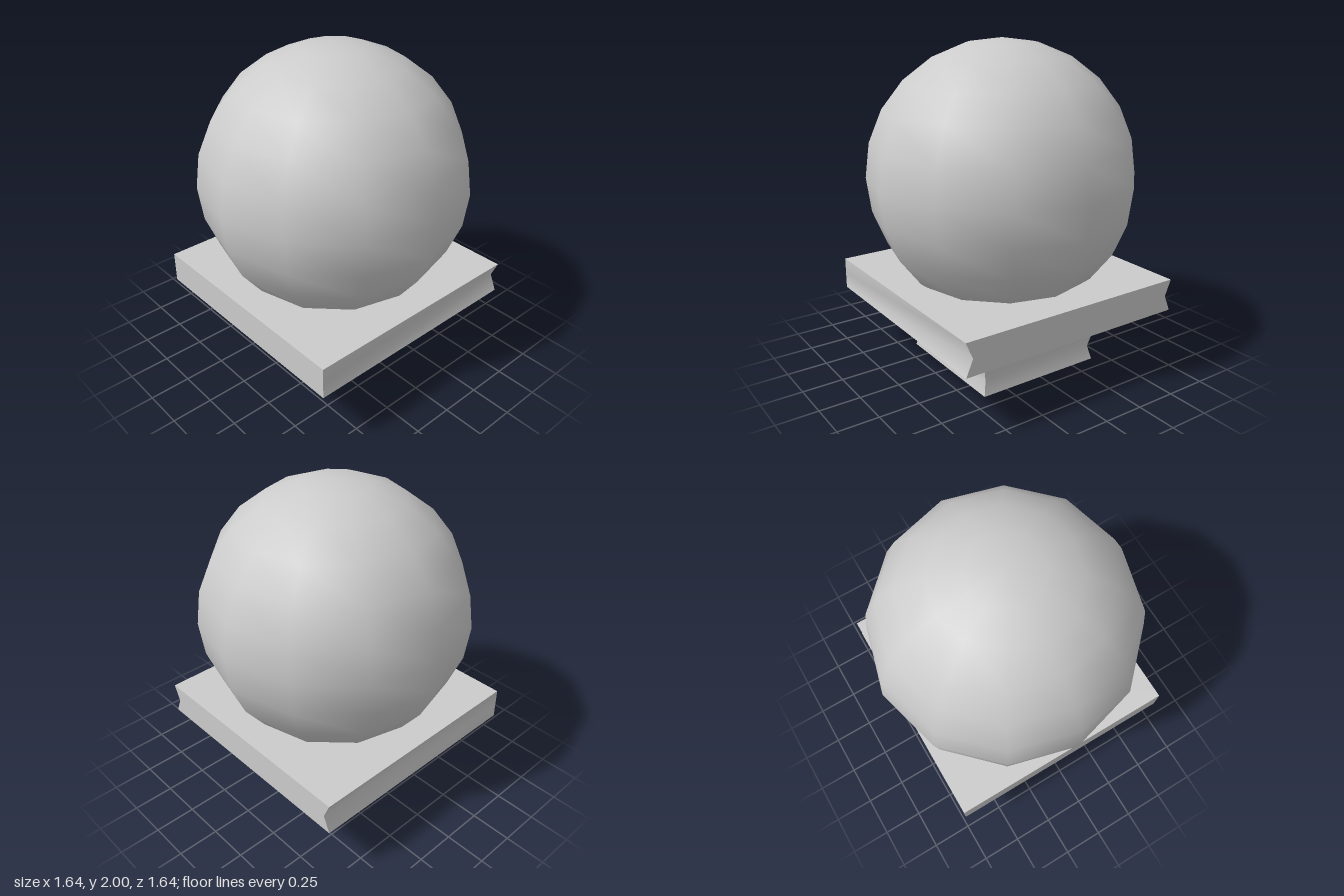
import * as THREE from 'three';

const material = new THREE.MeshStandardMaterial({ color: 0xcccccc });

// Square slab whose corner edges are pinched at mid height by pinch(x, z) -> [dx, dz]
function slab(name, width, y0, y1, pinch) {
  const geo = new THREE.BoxGeometry(width, y1 - y0, width, 1, 2, 1);
  const pos = geo.attributes.position;
  for (let i = 0; i < pos.count; i++) {
    if (Math.abs(pos.getY(i)) > 1e-4) continue;
    const x = pos.getX(i), z = pos.getZ(i);
    const [dx, dz] = pinch(x, z);
    pos.setX(i, x - Math.sign(x) * dx);
    pos.setZ(i, z - Math.sign(z) * dz);
  }
  geo.computeVertexNormals();
  const mesh = new THREE.Mesh(geo, material);
  mesh.name = name;
  mesh.position.y = (y0 + y1) / 2;
  return mesh;
}

export function createModel() {
  const group = new THREE.Group();
  group.name = 'ballFinial';

  // Base: all four corners pinched inward
  group.add(slab('base', 0.815, 0, 0.175, () => [0.02, 0.02]));

  // Neck: eight-sided smooth taper with softly shaded rims
  const profile = [[0, 0.16], [0.303, 0.16], [0.425, 0.395], [0, 0.395]]
    .map(([r, y]) => new THREE.Vector2(r, y));
  const neck = new THREE.Mesh(new THREE.LatheGeometry(profile, 8), material);
  neck.name = 'neck';
  group.add(neck);

  // Plate: front and back faces sink in towards the +x end only
  group.add(slab('plate', 1.47, 0.375, 0.573, (x) => [0, x > 0 ? 0.043 : 0]));

  // Ball
  const ball = new THREE.Mesh(new THREE.SphereGeometry(0.818, 12, 12), material);
  ball.name = 'ball';
  ball.position.y = 1.182;
  group.add(ball);

  return group;
}
